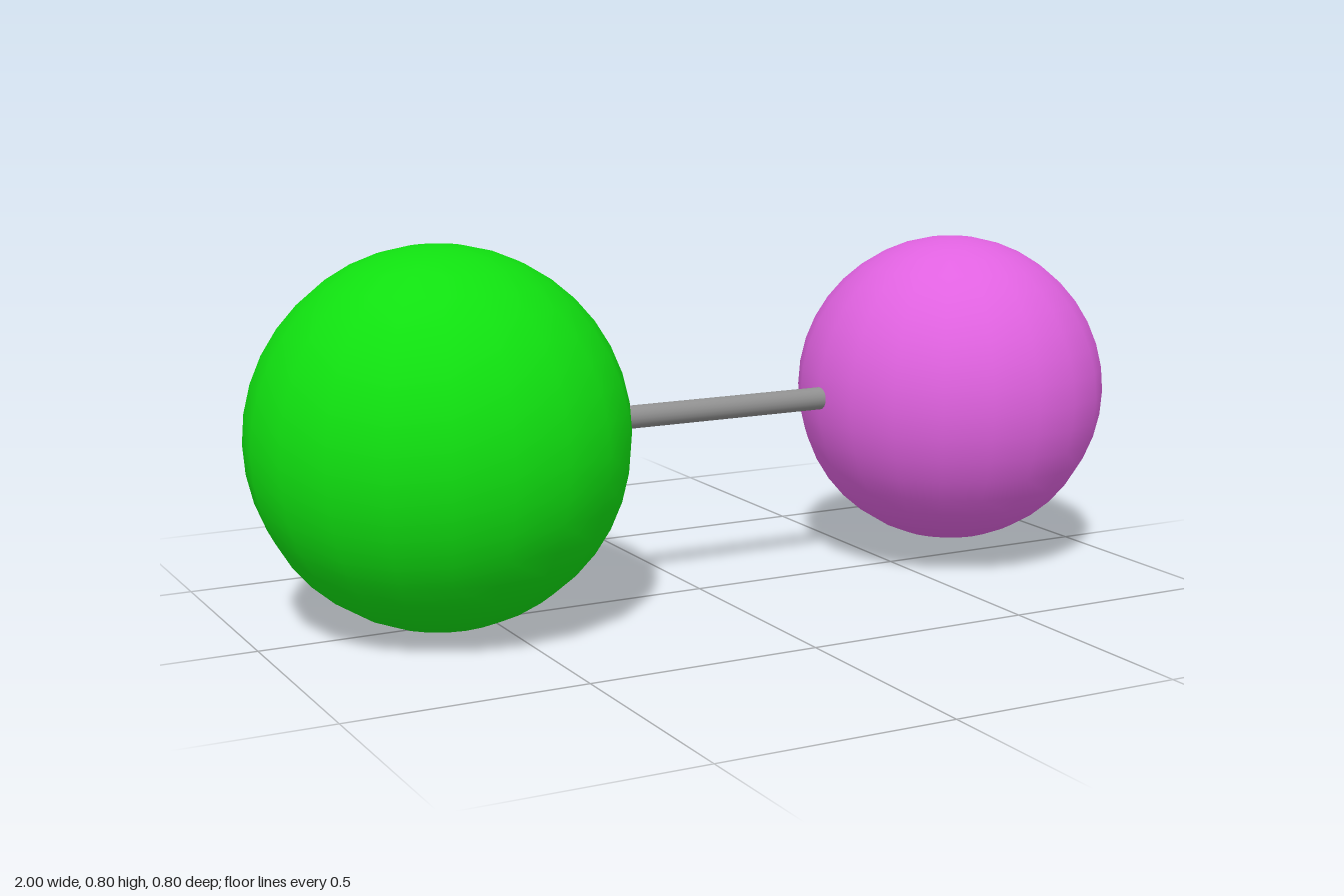
import * as THREE from 'three';

export function createModel() {
  const group = new THREE.Group();
  const midY = 0.4;

  // Smooth-shaded atoms with a modest number of sides
  const addAtom = (name, x, radius, color) => {
    const atom = new THREE.Mesh(
      new THREE.SphereGeometry(radius, 20, 20),
      new THREE.MeshStandardMaterial({ color })
    );
    atom.name = name;
    atom.position.set(x, midY, 0);
    group.add(atom);
    return atom;
  };
  const largeAtom = addAtom('largeAtom', -0.602, 0.398, 0x10e010);
  const smallAtom = addAtom('smallAtom', 0.651, 0.349, 0xe062e0);

  // Thin rod joining the two atom centres
  const length = smallAtom.position.x - largeAtom.position.x;
  const bond = new THREE.Mesh(
    new THREE.CylinderGeometry(0.025, 0.025, length, 20),
    new THREE.MeshStandardMaterial({ color: 0x909090 })
  );
  bond.name = 'bond';
  bond.rotation.z = Math.PI / 2;
  bond.position.set((smallAtom.position.x + largeAtom.position.x) / 2, midY + 0.003, -0.002);
  group.add(bond);

  return group;
}
